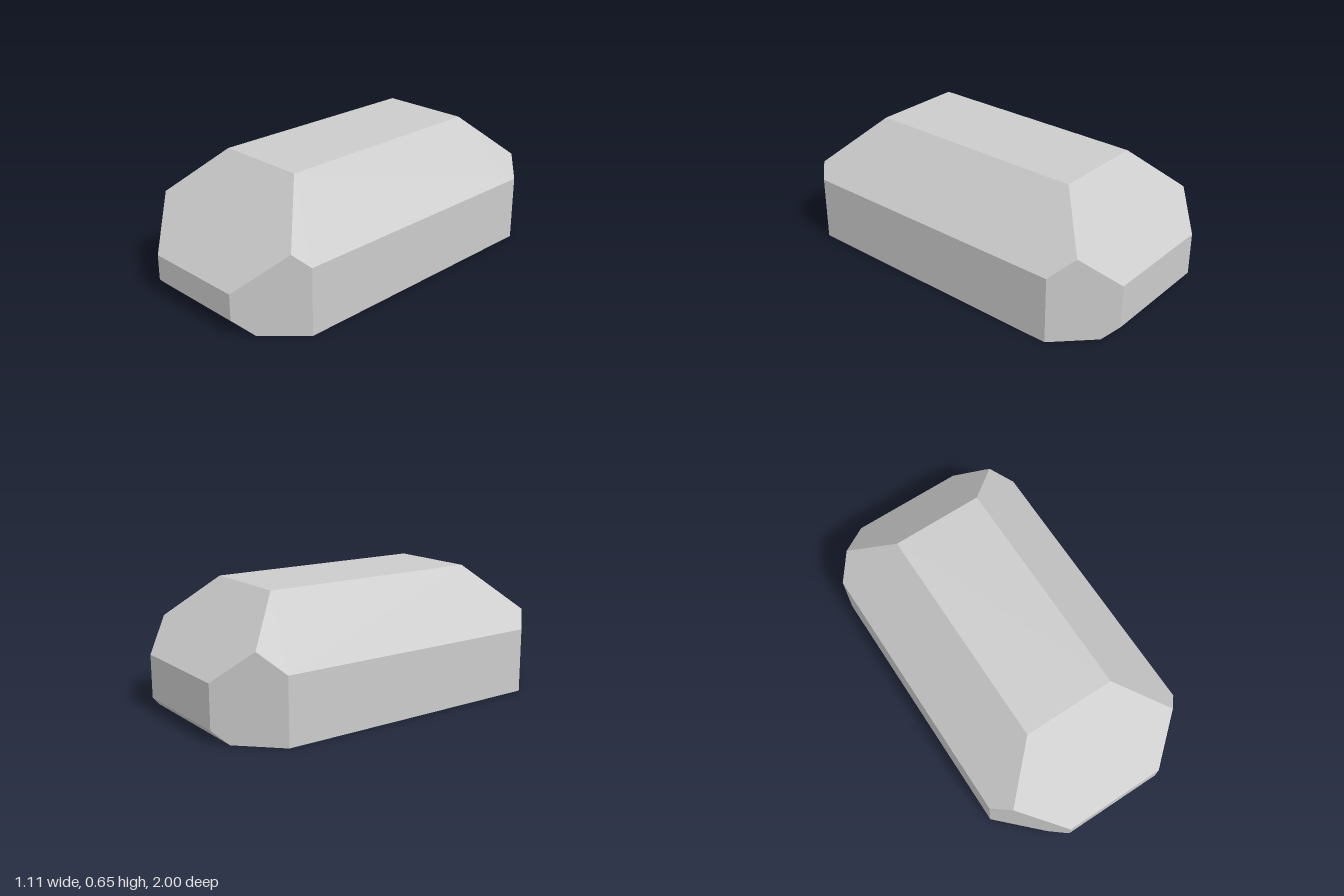
import * as THREE from 'three';
import { ConvexGeometry } from 'three/addons/geometries/ConvexGeometry.js';

const HALF_WIDTH = 0.553, HALF_LENGTH = 1, HEIGHT = 0.65;

// Each 45-degree bevel plane is given by the sum of its two coordinates.
const sideSlope = { 1: 0.895, '-1': 0.889 };  // |x| + y
const endSlope = { 1: 1.21, '-1': 1.285 };    // |z| + y
const bottomCut = { 1: 0.922, '-1': 0.937 };  // |z| - y
const cornerCut = {                           // |x| + |z|
  '1,1': 1.292, '-1,1': 1.258, '1,-1': 1.306, '-1,-1': 1.298,
};

// Points of one quarter of the block, where its bevel planes meet
function quarterPoints(sx, sz) {
  const side = sideSlope[sx], end = endSlope[sz];
  const low = bottomCut[sz], corner = cornerCut[[sx, sz]];
  const mid = (side + end + corner) / 2;
  return [
    [side - HEIGHT, HEIGHT, end - HEIGHT],                    // top face
    [mid - end, mid - corner, mid - side],                    // three slopes meet
    [HALF_WIDTH, side - HALF_WIDTH, corner - HALF_WIDTH],     // side wall
    [HALF_WIDTH, 0, corner - HALF_WIDTH],
    [corner - HALF_LENGTH, end - HALF_LENGTH, HALF_LENGTH],   // end wall
    [corner - HALF_LENGTH, HALF_LENGTH - low, HALF_LENGTH],
    [corner - low, 0, low],                                   // underside bevel
  ].map(([x, y, z]) => new THREE.Vector3(sx * x, y, sz * z));
}

export function createModel() {
  const group = new THREE.Group();
  group.name = 'bevelledBlock';

  const points = [];
  for (const sx of [1, -1]) for (const sz of [1, -1]) points.push(...quarterPoints(sx, sz));

  const body = new THREE.Mesh(
    new ConvexGeometry(points),
    new THREE.MeshStandardMaterial({ color: 0xcccccc, flatShading: true })
  );
  body.name = 'body';
  group.add(body);
  return group;
}
